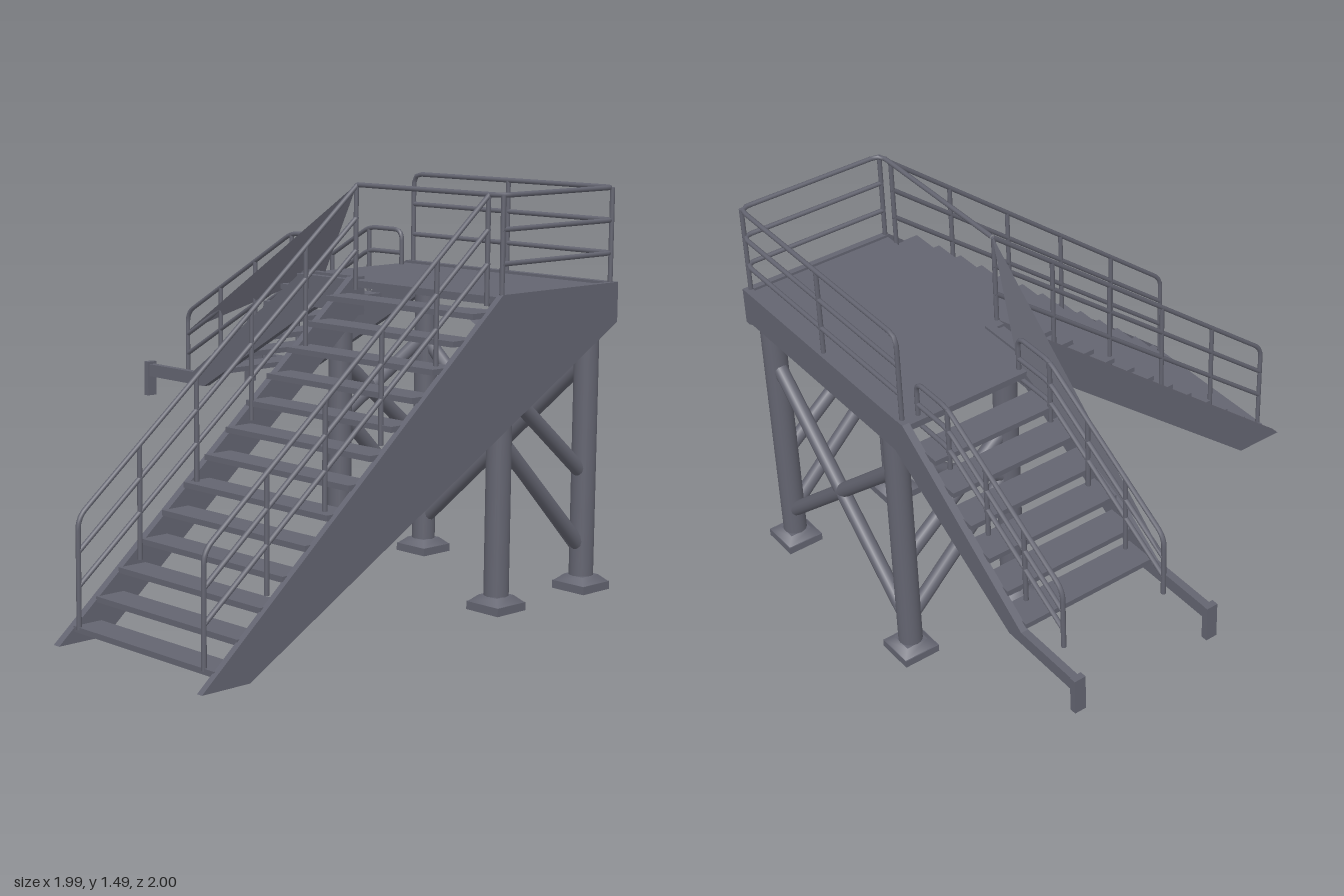
import * as THREE from 'three';

export function createModel() {
  const model = new THREE.Group();
  const steel = new THREE.MeshStandardMaterial({ color: 0x636470 });
  steel.name = 'grey steel';
  const sheetSteel = steel.clone();
  sheetSteel.side = THREE.DoubleSide;
  const V = (x, y, z) => new THREE.Vector3(x, y, z);

  function add(name, geometry, material = steel) {
    const mesh = new THREE.Mesh(geometry, material);
    mesh.name = name;
    model.add(mesh);
    return mesh;
  }

  // Box given by its two extreme corners
  function box(name, x0, x1, y0, y1, z0, z1) {
    add(name, new THREE.BoxGeometry(x1 - x0, y1 - y0, z1 - z0))
      .position.set((x0 + x1) / 2, (y0 + y1) / 2, (z0 + z1) / 2);
  }

  // Round bar between two points
  function bar(name, a, b, r, sides = 8) {
    const mesh = add(name, new THREE.CylinderGeometry(r, r, a.distanceTo(b), sides));
    mesh.position.copy(a).lerp(b, 0.5);
    mesh.quaternion.setFromUnitVectors(V(0, 1, 0), b.clone().sub(a).normalize());
  }

  // Bent rail: straight runs joined by small rounded corners
  function rail(name, points, r = 0.009, bend = 0.04) {
    const path = new THREE.CurvePath();
    let from = points[0];
    for (let i = 1; i < points.length - 1; i++) {
      const p = points[i];
      const before = p.clone().add(points[i - 1].clone().sub(p).setLength(bend));
      const after = p.clone().add(points[i + 1].clone().sub(p).setLength(bend));
      path.add(new THREE.LineCurve3(from, before));
      path.add(new THREE.QuadraticBezierCurve3(before, p, after));
      from = after;
    }
    path.add(new THREE.LineCurve3(from, points[points.length - 1]));
    add(name, new THREE.TubeGeometry(path, points.length > 2 ? 90 : 1, r, 8));
  }

  function plate(points, depth) {
    const shape = new THREE.Shape(points.map(([a, b]) => new THREE.Vector2(a, b)));
    return new THREE.ExtrudeGeometry(shape, { depth, bevelEnabled: false });
  }

  // Side plate in the z-y plane, thickness along x
  function sidePlate(name, points, x, depth) {
    const mesh = add(name, plate(points.map(([z, y]) => [-z, y]), depth));
    mesh.rotation.y = Math.PI / 2;
    mesh.position.x = x;
  }

  function triangle(name, a, b, c) {
    const g = new THREE.BufferGeometry().setFromPoints([a, b, c]);
    g.computeVertexNormals();
    add(name, g, sheetSteel);
  }

  // Landing deck and its beams
  box('deck', -0.05, 0.97, 1.11, 1.135, -0.95, -0.36);
  box('backBeam', -0.02, 0.985, 1.01, 1.145, -0.975, -0.945);
  box('frontBeam', -0.02, 0.25, 1.01, 1.145, -0.42, -0.39);

  // Legs with foot plates
  const legX = [0.085, 0.89], legZ = [-0.925, -0.46];
  for (const x of legX) for (const z of legZ) {
    bar('leg', V(x, 0.02, z), V(x, 1.11, z), 0.045, 24);
    box('foot', x - 0.075, x + 0.075, 0, 0.03, z - 0.073, z + 0.073);
    const collar = add('footCollar', new THREE.CylinderGeometry(0.062, 0.1, 0.025, 4, 1));
    collar.rotation.y = Math.PI / 4;
    collar.position.set(x, 0.0425, z);
  }

  // Cross braces at the back, sloping braces at the sides
  const [xa, xb] = legX, [zb, zf] = legZ;
  bar('backBrace', V(xa, 0.13, zb), V(xb, 0.86, zb), 0.028, 12);
  bar('backBrace', V(xa, 0.85, zb), V(xb, 0.14, zb), 0.028, 12);
  for (const x of legX) {
    bar('sideBrace', V(x, 0.82, zf), V(x, 0.43, zb), 0.028, 12);
    bar('sideBrace', V(x, 0.62, zf), V(x, 0.15, zb), 0.028, 12);
  }
  bar('sideCrossBrace', V(xa, 0.59, zf), V(xa, 0.87, zb), 0.025, 12);

  // Main flight: deep right stringer, plain left stringer, treads
  sidePlate('deepStringer', [[1, 0], [0.8, 0], [-0.975, 1.0], [-0.975, 1.145], [-0.36, 1.145]], 0.963, 0.024);
  sidePlate('plainStringer', [[1, 0], [0.8, 0], [-0.4, 1.01], [-0.4, 1.145], [-0.36, 1.145]], 0.22, 0.03);
  for (let k = 0; k <= 12; k++) {
    const y = 0.05 + 0.0857 * k, z = 0.935 - 0.097 * k;
    box('mainTread', 0.245, 0.968, y - 0.01, y + 0.01, z - 0.115, z);
  }
  triangle('underDeckGusset', V(0.35, 1.01, -0.8), V(0.965, 0.8, -0.62), V(0.965, 1.01, -0.95));

  // Side flight: two bent stringers with end brackets, treads
  const bent = [[0.01, 1.01], [0.01, 1.145], [-0.05, 1.145], [-0.7, 0.68], [-0.98, 0.68], [-0.98, 0.63], [-0.63, 0.63]];
  for (const z of [-0.96, -0.407]) {
    add('sideStringer', plate(bent, 0.028)).position.z = z - 0.014;
    box('endBracket', -1, -0.975, 0.55, 0.69, z - 0.022, z + 0.022);
  }
  for (let k = 0; k < 6; k++) {
    const x = -0.695 + 0.098 * k, y = 0.69 + 0.0757 * k;
    box('sideTread', x, x + 0.12, y - 0.01, y + 0.01, -0.95, -0.418);
  }

  // Landing railing along the back and right side
  const top = 1.485, levels = [0, 0.117, 0.235];
  rail('landingTopRail', [V(-0.02, 1.1, -0.955), V(-0.02, top, -0.955), V(0.975, top, -0.955),
    V(0.975, top, -0.36), V(0.27, top, -0.36)]);
  for (const d of levels.slice(1))
    rail('landingMidRail', [V(-0.02, top - d, -0.955), V(0.975, top - d, -0.955), V(0.975, top - d, -0.36)]);
  for (const [x, z] of [[0.47, -0.955], [0.97, -0.95], [0.975, -0.365]])
    bar('landingPost', V(x, 1.1, z), V(x, top, z), 0.009);

  // Main flight railings
  for (const x of [0.27, 0.915]) {
    rail('stairTopRail', [V(x, 0.05, 0.93), V(x, 0.435, 0.93), V(x, top, -0.36)]);
    for (const d of levels.slice(1))
      rail('stairMidRail', [V(x, 0.435 - d, 0.93), V(x, top - d, -0.36)]);
    for (const z of [0.665, 0.41, 0.155, -0.105, -0.355]) {
      const y = 0.435 + (0.93 - z) * 0.814;
      bar('stairPost', V(x, 0.835 * (1 - z) - 0.03, z), V(x, y, z), 0.009);
    }
  }

  // Side flight railings
  for (const z of [-0.47, -0.89]) {
    rail('sideTopRail', [V(-0.82, 0.66, z), V(-0.82, 0.905, z), V(-0.2, 1.27, z), V(-0.02, 1.27, z), V(-0.02, 1.1, z)]);
    for (const d of [0.09, 0.17])
      rail('sideMidRail', [V(-0.82, 0.905 - d, z), V(-0.2, 1.27 - d, z), V(-0.02, 1.27 - d, z)]);
    for (const x of [-0.615, -0.41, -0.2])
      bar('sidePost', V(x, 0.66 + (x + 0.7) * 0.71, z), V(x, 0.905 + (x + 0.82) * 0.589, z), 0.009);
  }

  // Slanted sheet from the side flight rail up to the landing corner
  triangle('slantedSheet', V(-0.82, 0.83, -0.475), V(0, 1.14, -0.46), V(0.27, 1.49, -0.36));

  return model;
}
